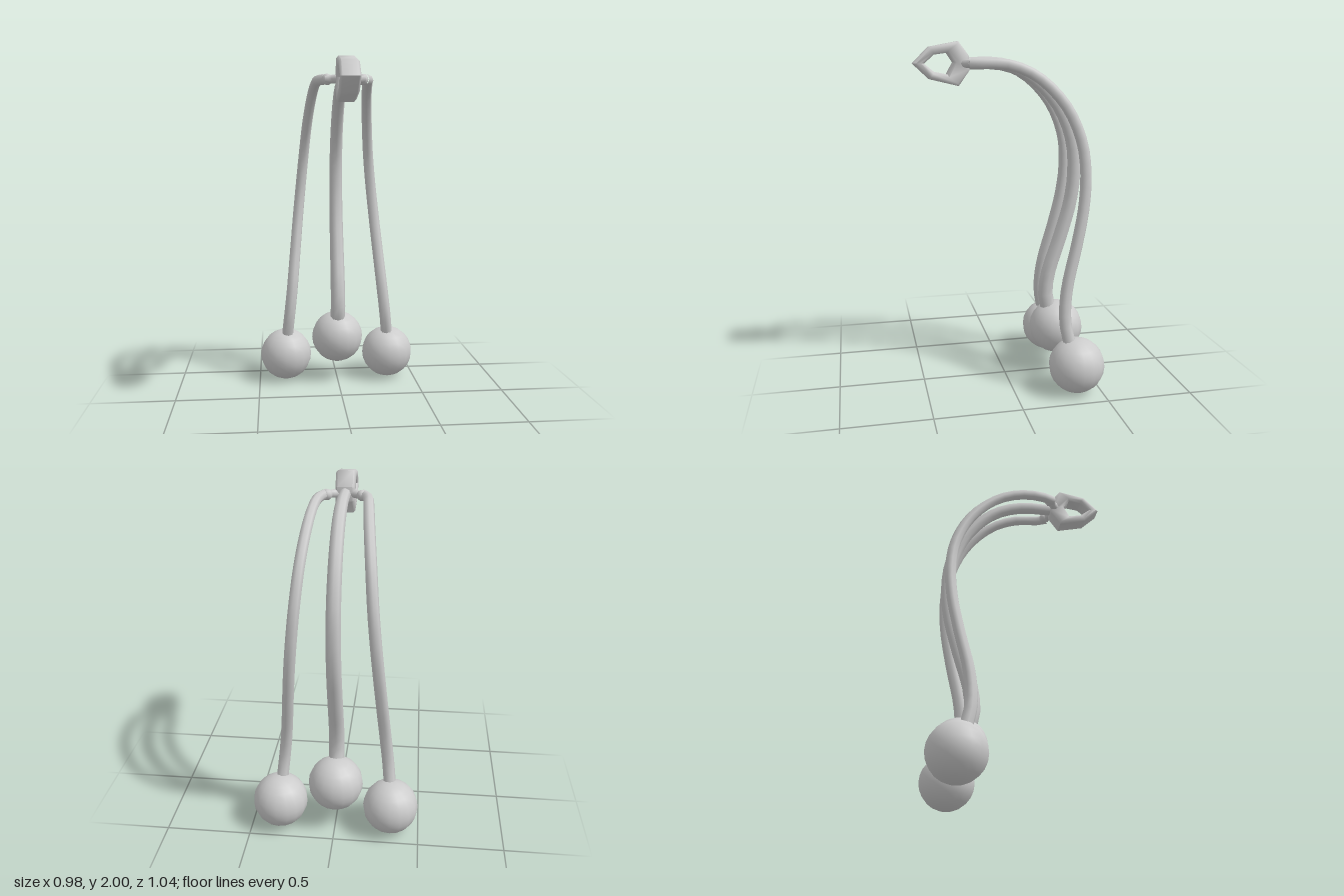
import * as THREE from 'three';
import { mergeVertices, toCreasedNormals } from 'three/addons/utils/BufferGeometryUtils.js';

const material = new THREE.MeshStandardMaterial({ color: 0xcccccc });
const V = (x, y, z) => new THREE.Vector3(x, y, z);

function add(group, name, geometry) {
  const mesh = new THREE.Mesh(geometry, material);
  mesh.name = name;
  group.add(mesh);
  return mesh;
}

// Tube along a smooth path whose radius runs evenly from r0 to r1
function taperedTube(points, r0, r1, segments, sides = 8) {
  const curve = new THREE.CatmullRomCurve3(points);
  const geometry = new THREE.TubeGeometry(curve, segments, 1, sides, false);
  const pos = geometry.attributes.position;
  const v = V(0, 0, 0);
  for (let i = 0; i < pos.count; i++) {
    const t = Math.floor(i / (sides + 1)) / segments;
    const centre = curve.getPointAt(t);
    v.fromBufferAttribute(pos, i).sub(centre).multiplyScalar(r0 + (r1 - r0) * t).add(centre);
    pos.setXYZ(i, v.x, v.y, v.z);
  }
  return geometry;
}

// Pointed ring, drawn in (z, y) and extruded across x
function ringGeometry() {
  const vec = ([z, y]) => new THREE.Vector2(z, y);
  const shape = new THREE.Shape([
    [0.52, 1.88], [0.43, 1.97], [0.27, 2.0], [0.21, 1.92],
    [0.21, 1.84], [0.27, 1.757], [0.43, 1.795],
  ].map(vec));
  shape.holes.push(new THREE.Path([
    [0.46, 1.88], [0.405, 1.928], [0.33, 1.938], [0.295, 1.885],
    [0.33, 1.82], [0.405, 1.835],
  ].map(vec)));
  const bevel = 0.012;
  const geometry = new THREE.ExtrudeGeometry(shape, {
    depth: 0.086, bevelThickness: bevel, bevelSize: bevel, bevelOffset: -bevel, bevelSegments: 1,
  });
  geometry.translate(0, 0, -0.043).rotateY(-Math.PI / 2);
  geometry.deleteAttribute('uv');
  geometry.deleteAttribute('normal');
  return toCreasedNormals(mergeVertices(geometry, 1e-4), 0.85);
}

export function createModel() {
  const model = new THREE.Group();
  model.name = 'threeBallFlail';
  add(model, 'ring', ringGeometry());

  // Middle strand and ball
  add(model, 'middleStrand', taperedTube([
    V(0, 1.88, 0.23), V(0, 1.875, 0.02), V(0, 1.81, -0.15), V(0, 1.65, -0.31),
    V(0, 1.45, -0.4), V(0, 1.26, -0.42), V(0, 1.07, -0.4), V(0, 0.85, -0.34),
    V(0, 0.62, -0.268), V(0, 0.48, -0.255), V(0, 0.36, -0.29),
  ], 0.034, 0.047, 28));
  const ball = new THREE.SphereGeometry(0.162, 16, 12);
  add(model, 'middleBall', ball).position.set(0, 0.282, -0.322);

  // Outer strands, mirrored left and right
  for (const s of [1, -1]) {
    const side = new THREE.Group();
    side.name = s > 0 ? 'leftArm' : 'rightArm';
    add(side, 'strand', taperedTube([
      V(s * 0.105, 1.88, 0.21), V(s * 0.133, 1.88, 0.15), V(s * 0.148, 1.875, 0.01),
      V(s * 0.163, 1.81, -0.15), V(s * 0.185, 1.65, -0.31), V(s * 0.205, 1.45, -0.4),
      V(s * 0.224, 1.26, -0.422), V(s * 0.243, 1.07, -0.407), V(s * 0.262, 0.87, -0.366),
      V(s * 0.288, 0.6, -0.302), V(s * 0.308, 0.42, -0.292), V(s * 0.325, 0.26, -0.325),
    ], 0.029, 0.036, 30));
    add(side, 'knob', new THREE.SphereGeometry(0.031, 10, 8)).position.set(s * 0.098, 1.88, 0.192);
    add(side, 'link', taperedTube([
      V(s * 0.108, 1.88, 0.207), V(s * 0.075, 1.88, 0.213), V(s * 0.04, 1.88, 0.235),
    ], 0.02, 0.027, 5));
    add(side, 'ball', ball).position.set(s * 0.33, 0.162, -0.358);
    model.add(side);
  }
  return model;
}
